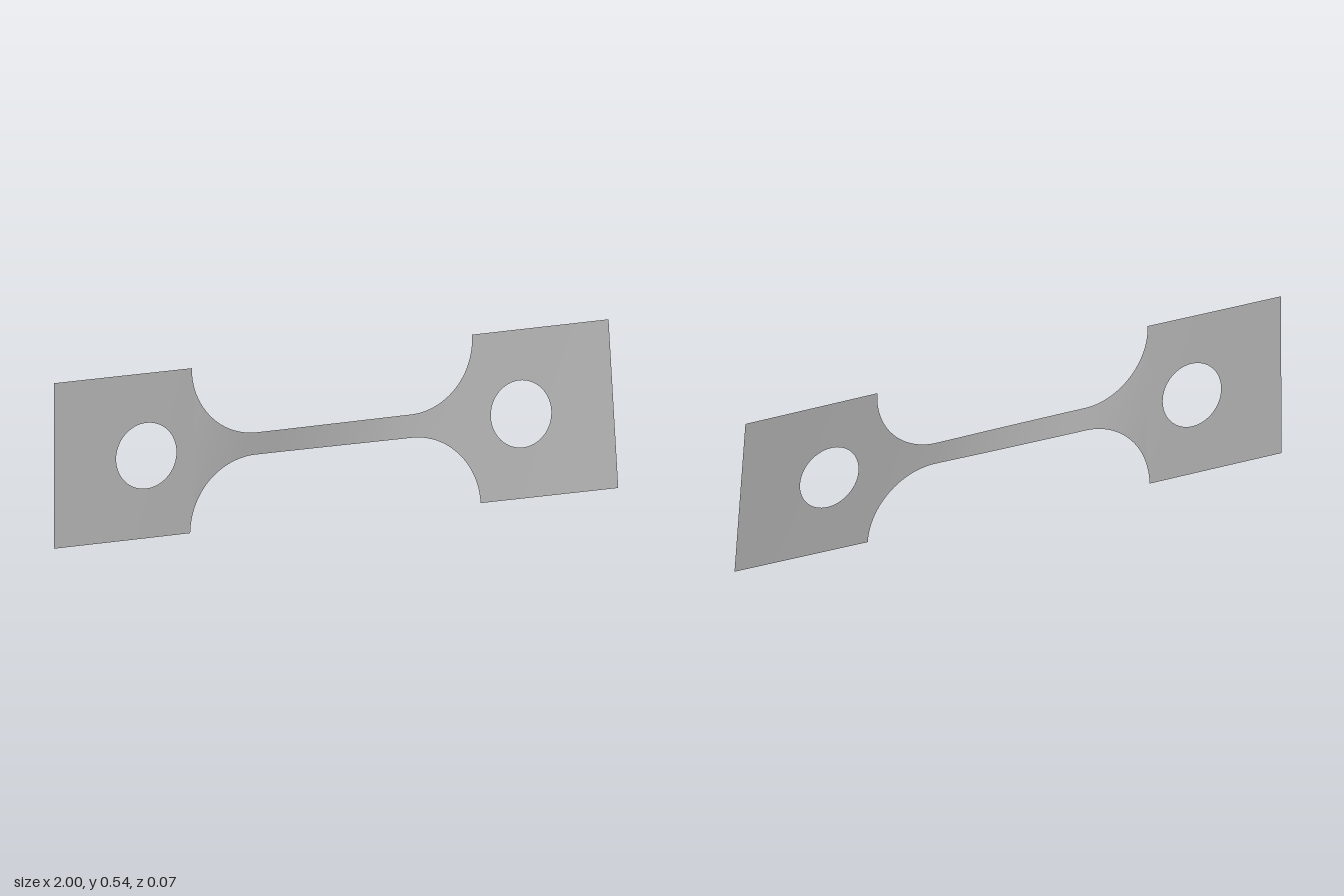
import * as THREE from 'three';
import { mergeVertices } from 'three/addons/utils/BufferGeometryUtils.js';

const MID = 0.2715;                 // height of the long axis
const HALF = 0.2715;                // half height of the end plates
const PLATE = 0.51;                 // inner end of the plates
const FILLET = 0.234;               // radius between plate and neck
const HOLE_X = 0.67, HOLE_R = 0.108;

// Twist about the long axis: [x, angle]
const TWIST = [[-1, -0.006], [-0.75, -0.012], [-0.5, -0.022], [-0.42, -0.06], [-0.3, -0.11], [-0.18, -0.1],
  [0, -0.04], [0.12, 0.01], [0.25, 0.08], [0.38, 0.105], [0.5, 0.113], [1, 0.128]];

function twistAt(x) {
  let i = 0;
  while (i < TWIST.length - 2 && x > TWIST[i + 1][0]) i++;
  const [x0, a0] = TWIST[i], [x1, a1] = TWIST[i + 1];
  return a0 + (a1 - a0) * (x - x0) / (x1 - x0);
}

// Outer half height of the strip at x
function outer(x) {
  const d = Math.abs(x) - (PLATE - FILLET);
  if (d <= 0) return HALF - FILLET;
  if (d >= FILLET) return HALF;
  return HALF - Math.sqrt(FILLET * FILLET - d * d);
}

// Half height of the hole at x
function inner(x) {
  const d = Math.abs(x) - HOLE_X;
  return Math.sqrt(Math.max(0, HOLE_R * HOLE_R - d * d));
}

// Stations along the strip, crowded where the outline is steep
function stations() {
  const xs = [0];
  const n = 32;
  for (let i = 1; i <= 12; i++) xs.push((PLATE - FILLET) * i / 12);
  for (let i = 1; i <= n; i++) xs.push(PLATE - FILLET + FILLET * Math.sin(i / n * Math.PI / 2));
  xs.push(0.535);
  for (let i = 0; i <= n; i++) xs.push(HOLE_X - HOLE_R * Math.cos(i / n * Math.PI));
  for (let i = 1; i <= 5; i++) xs.push(HOLE_X + HOLE_R + (1 - HOLE_X - HOLE_R) * i / 5);
  return [...xs.slice(1).reverse().map((x) => -x), ...xs];
}

// A thin sheet made of an upper and a lower band that part around the holes
function sheetGeometry() {
  const xs = stations(), rows = 5, pos = [], index = [];
  for (const side of [-1, 1]) {
    const base = pos.length / 3;
    xs.forEach((x, i) => {
      const a = twistAt(x), lo = inner(x), hi = outer(x);
      for (let j = 0; j <= rows; j++) {
        const r = side * (lo + (hi - lo) * j / rows);
        pos.push(x, MID + r * Math.cos(a), -r * Math.sin(a));
        if (i === 0 || j === 0) continue;
        const d = base + i * (rows + 1) + j, c = d - 1;
        const b = d - rows - 1, e = b - 1;
        if (side > 0) index.push(e, c, d, e, d, b);
        else index.push(e, d, c, e, b, d);
      }
    });
  }
  let geometry = new THREE.BufferGeometry();
  geometry.setAttribute('position', new THREE.Float32BufferAttribute(pos, 3));
  geometry.setIndex(index);
  geometry = mergeVertices(geometry, 1e-5);
  geometry.computeVertexNormals();
  return geometry;
}

export function createModel() {
  const grey = new THREE.MeshStandardMaterial({ color: 0xb4b4b4, side: THREE.DoubleSide });
  grey.name = 'grey metal';
  const sheet = new THREE.Mesh(sheetGeometry(), grey);
  sheet.name = 'twistedStrip';
  const group = new THREE.Group();
  group.name = 'twistedTestStrip';
  group.add(sheet);
  return group;
}
